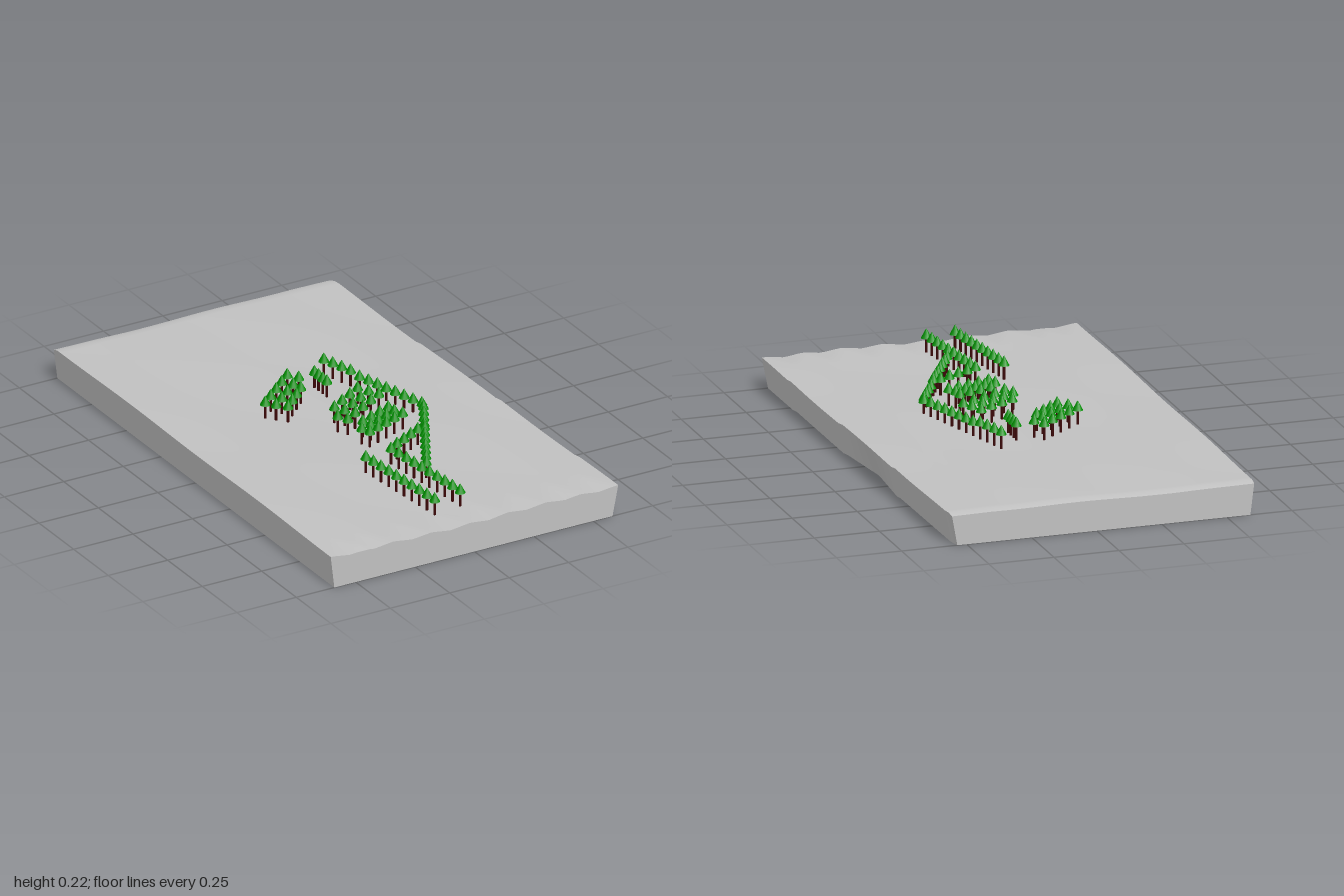
import * as THREE from 'three';
import { mergeGeometries } from 'three/addons/utils/BufferGeometryUtils.js';

const { lerp, clamp } = THREE.MathUtils;

// Piecewise linear lookup in [[z, value], ...]
function along(pts, z) {
  for (let i = 1; i < pts.length; i++) {
    const [z0, v0] = pts[i - 1], [z1, v1] = pts[i];
    if (z <= z1) return lerp(v0, v1, clamp((z - z0) / (z1 - z0), 0, 1));
  }
  return pts[pts.length - 1][1];
}

const rightRim = [[-1, 0.556], [-0.95, 0.565], [-0.4, 0.57], [-0.39, 0.577], [0.15, 0.585], [0.16, 0.592], [0.7, 0.596], [0.71, 0.602], [1, 0.605]];
const rightInset = [[-1, 0.02], [-0.4, 0.02], [-0.12, 0.045], [0.15, 0.02], [1, 0.024]];
const notches = [-0.52, -0.42, -0.26, -0.1, 0.06, 0.22, 0.38, 0.52];

// Gently uneven ground with small wedge-shaped hollows along the front rim
function groundHeight(x, z) {
  let y = 0.123 + 0.0025 * Math.sin(5 * x + 2.3 * z) * Math.cos(4 * z - 2 * x) + 0.0012 * Math.sin(13 * x - 7 * z);
  y += 0.006 * clamp((-x - 0.3) / 0.3, 0, 1) - 0.006 * clamp((x - 0.4) / 0.2, 0, 1);
  if (z < -0.99) y -= 0.008;
  const t = clamp((z - 0.87) / 0.13, 0, 1);
  for (const n of notches) y -= 0.01 * t * Math.max(0, 1 - Math.abs(x - n) / (0.075 * t + 0.001));
  return y;
}

// Point in the slab: a across, b from back to front, h from base to rim
function slabPoint(a, b, h) {
  const z = b * 2 - 1;
  const rim = along(rightRim, z);
  const topX = lerp(-0.605, rim, a);
  const baseX = lerp(-0.59, rim - along(rightInset, z), a);
  return [lerp(baseX, topX, h), h * groundHeight(topX, z), z];
}

// Surface patch from a point rule, facing du x dv
function patch(fn, nu, nv) {
  const pos = [], idx = [], w = nv + 1;
  for (let i = 0; i <= nu; i++) for (let j = 0; j <= nv; j++) pos.push(...fn(i / nu, j / nv));
  for (let i = 0; i < nu; i++) for (let j = 0; j < nv; j++) {
    const p = i * w + j;
    idx.push(p, p + w, p + w + 1, p, p + w + 1, p + 1);
  }
  const g = new THREE.BufferGeometry();
  g.setAttribute('position', new THREE.Float32BufferAttribute(pos, 3));
  g.setIndex(idx);
  g.computeVertexNormals();
  return g;
}

// Evenly spaced tree positions from one point to another
const row = (x0, z0, x1, z1, n) =>
  Array.from({ length: n }, (_, i) => [lerp(x0, x1, i / (n - 1)), lerp(z0, z1, i / (n - 1))]);

export function createModel() {
  const model = new THREE.Group();
  const material = (name, color) => {
    const m = new THREE.MeshStandardMaterial({ color });
    m.name = name;
    return m;
  };
  const stone = material('stone grey', 0xc0c0c0);
  const leaf = material('leaf green', 0x008f00);
  const bark = material('dark bark', 0x3c0606);

  // Ground slab: top, base and four walls
  const NX = 60, NZ = 80;
  const slab = new THREE.Mesh(mergeGeometries([
    patch((u, v) => slabPoint(v, u, 1), NZ, NX),
    patch((u, v) => slabPoint(u, v, 0), NX, NZ),
    patch((u, v) => slabPoint(u, 1, v), NX, 1),
    patch((u, v) => slabPoint(v, 0, u), 1, NX),
    patch((u, v) => slabPoint(1, v, u), 1, NZ),
    patch((u, v) => slabPoint(0, u, v), NZ, 1),
  ]), stone);
  slab.name = 'groundSlab';
  model.add(slab);

  const spots = [
    // back left grove
    ...row(-0.225, -0.125, -0.045, -0.275, 5),
    ...row(-0.2, -0.09, -0.02, -0.235, 5),
    ...row(-0.17, -0.055, -0.055, -0.16, 4),
    // short column
    ...row(0.052, -0.245, 0.052, -0.155, 4),
    // middle grove
    ...row(-0.03, 0.04, 0.12, -0.05, 4),
    ...row(-0.01, 0.08, 0.14, -0.005, 4),
    ...row(0.01, 0.12, 0.16, 0.035, 4),
    [-0.057, 0.11], [-0.038, 0.15],
    // lower grove
    ...row(0, 0.193, 0.135, 0.145, 4),
    ...row(0.01, 0.232, 0.14, 0.18, 4),
    ...row(-0.02, 0.278, 0.155, 0.215, 5),
    [-0.033, 0.242],
    // long bent avenue
    ...row(0.135, -0.32, 0.27, 0.157, 12),
    ...row(0.26, 0.185, 0.03, 0.6, 11),
    // branch and the two front avenues
    ...row(0.14, 0.35, 0.015, 0.415, 4),
    ...row(-0.025, 0.44, 0.02, 0.862, 10),
    ...row(-0.14, 0.455, -0.095, 0.875, 10),
  ];

  // Trees: thin trunk and a cone crown with a short tapered underside
  const trunkShape = new THREE.CylinderGeometry(0.005, 0.005, 0.06, 8);
  trunkShape.translate(0, 0.025, 0);
  const v = (x, y) => new THREE.Vector2(x, y);
  const crownShape = mergeGeometries([
    new THREE.LatheGeometry([v(0, 0.05), v(0.02, 0.054)], 10),
    new THREE.LatheGeometry([v(0.02, 0.054), v(0.0005, 0.091)], 10),
  ]);
  for (const [x, z] of spots) {
    const tree = new THREE.Group();
    tree.name = 'tree';
    const trunk = new THREE.Mesh(trunkShape, bark);
    trunk.name = 'trunk';
    const crown = new THREE.Mesh(crownShape, leaf);
    crown.name = 'crown';
    tree.add(trunk, crown);
    tree.position.set(x, x > 0.18 ? 0.114 : groundHeight(x, z), z);
    model.add(tree);
  }
  return model;
}
